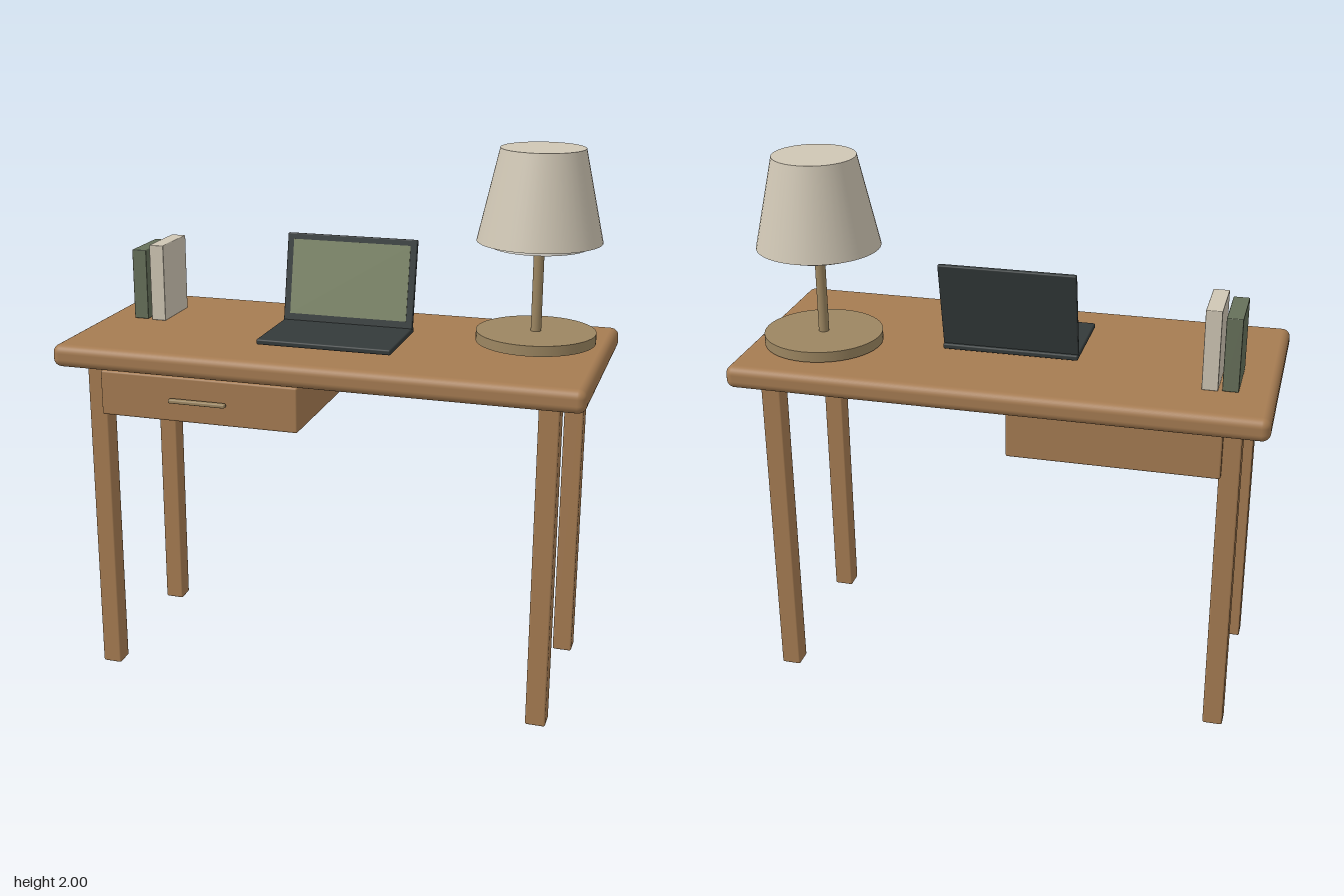
import * as THREE from 'three';
import { RoundedBoxGeometry } from 'three/addons/geometries/RoundedBoxGeometry.js';

const material = (color) => new THREE.MeshStandardMaterial({ color });

export function createModel() {
  const model = new THREE.Group();
  model.name = 'deskWithLamp';

  const wood = material(0xa67c52);
  const brass = material(0x9c8661);
  const dark = material(0x343a3a);
  const screenGreen = material(0x7d8768);
  const fabric = material(0xcfc6b4);
  const white = material(0xe4e0d8);
  const bookGreen = material(0x66705a);

  const add = (parent, name, geometry, mat, x, y, z) => {
    const mesh = new THREE.Mesh(geometry, mat);
    mesh.name = name;
    mesh.position.set(x, y, z);
    parent.add(mesh);
    return mesh;
  };
  const box = (w, h, d, r, segments = 2) => new RoundedBoxGeometry(w, h, d, segments, r);
  const group = (name, x, y, z) => {
    const g = new THREE.Group();
    g.name = name;
    g.position.set(x, y, z);
    model.add(g);
    return g;
  };

  // Desk: top with rounded rim and four square legs
  add(model, 'deskTop', box(1.93, 0.083, 0.87, 0.03, 4), wood, 0, 1.255, 0);
  for (const sx of [-1, 1]) {
    for (const sz of [-1, 1]) {
      const name = (sz > 0 ? 'front' : 'back') + (sx > 0 ? 'Left' : 'Right') + 'Leg';
      add(model, name, box(0.073, 1.216, 0.073, 0.007), wood, sx * 0.832, 0.608, sz * 0.306);
    }
  }

  // Drawer hanging under the right half, with a slim pull in front
  add(model, 'drawer', box(0.755, 0.167, 0.737, 0.007), wood, -0.427, 1.114, 0.002);
  add(model, 'drawerHandle', box(0.217, 0.015, 0.022, 0.005), brass, -0.422, 1.113, 0.387);

  // Laptop: flat base and lid leaning back
  const laptop = group('laptop', 0, 1.304, 0);
  add(laptop, 'laptopBase', box(0.5, 0.02, 0.333, 0.006), dark, 0, 0.01, 0.067);
  const lid = new THREE.Group();
  lid.name = 'laptopLid';
  lid.position.set(0, 0.176, -0.11);
  lid.rotation.x = -0.2;
  laptop.add(lid);
  add(lid, 'lidPanel', box(0.5, 0.33, 0.018, 0.005), dark, 0, 0, 0);
  add(lid, 'screen', new THREE.BoxGeometry(0.45, 0.278, 0.004), screenGreen, 0, 0.003, 0.009);

  // Table lamp: disc base, thin pole, tapered shade with a diffuser below
  const lamp = group('lamp', 0.7, 0, -0.118);
  add(lamp, 'lampBase', new THREE.CylinderGeometry(0.217, 0.217, 0.038, 48), brass, 0, 1.323, 0);
  add(lamp, 'lampPole', new THREE.CylinderGeometry(0.019, 0.019, 0.35, 24), brass, 0, 1.5, 0);
  add(lamp, 'lampShade', new THREE.CylinderGeometry(0.15, 0.224, 0.33, 48), fabric, 0, 1.835, 0);
  add(lamp, 'lampDiffuser', new THREE.CylinderGeometry(0.177, 0.177, 0.025, 48), white, 0, 1.665, 0);

  // Two upright books
  add(model, 'greenBook', box(0.057, 0.267, 0.217, 0.003), bookGreen, -0.808, 1.432, -0.119);
  add(model, 'paleBook', box(0.057, 0.291, 0.217, 0.003), fabric, -0.737, 1.442, -0.119);

  return model;
}
